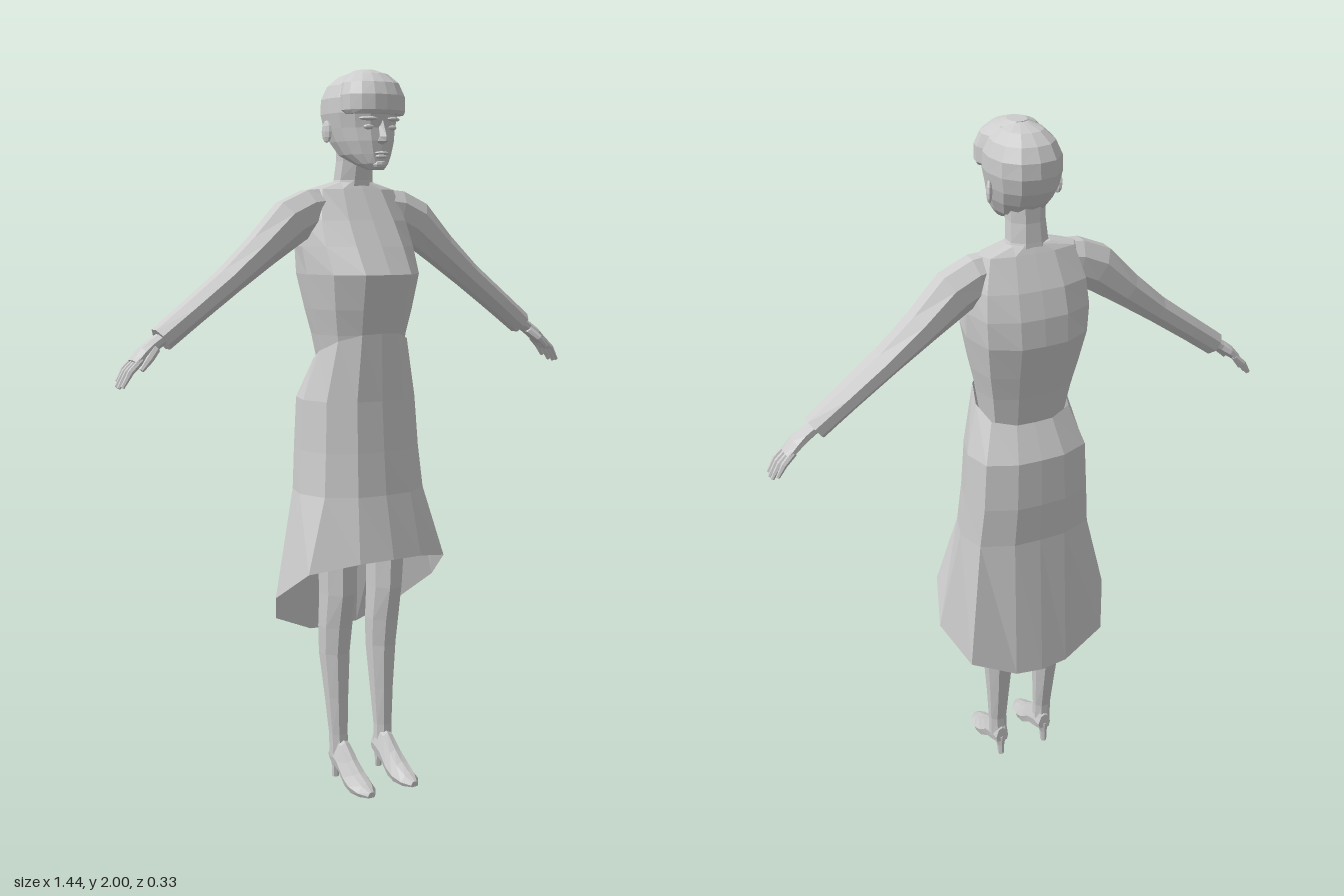
import * as THREE from 'three';

const cloth = new THREE.MeshStandardMaterial({ color: 0xcccccc, flatShading: true, side: THREE.DoubleSide });
cloth.name = 'pale grey';

// Skin closed loops of points into one faceted surface, facing outward.
function loft(name, rings, capped = true) {
  const tris = [], n = rings[0].length, all = rings.flat();
  const mid = all.reduce((s, p) => s.add(p), new THREE.Vector3()).divideScalar(all.length);
  for (let i = 0; i < rings.length - 1; i++) {
    for (let j = 0; j < n; j++) {
      const k = (j + 1) % n, a = rings[i], b = rings[i + 1];
      tris.push([a[j], a[k], b[k]], [a[j], b[k], b[j]]);
    }
  }
  if (capped) {
    [rings[0], rings[rings.length - 1]].forEach((r, end) => {
      const c = r.reduce((s, p) => s.add(p), new THREE.Vector3()).divideScalar(n);
      for (let j = 0; j < n; j++) {
        const k = (j + 1) % n;
        tris.push(end ? [c, r[j], r[k]] : [c, r[k], r[j]]);
      }
    });
  }
  let volume = 0;
  for (const [a, b, c] of tris) {
    const p = a.clone().sub(mid), q = b.clone().sub(mid), r = c.clone().sub(mid);
    volume += p.dot(q.cross(r));
  }
  const pts = tris.flatMap(([a, b, c]) => (volume < 0 ? [a, c, b] : [a, b, c]));
  const geo = new THREE.BufferGeometry().setFromPoints(pts);
  geo.computeVertexNormals();
  const mesh = new THREE.Mesh(geo, cloth);
  mesh.name = name;
  return mesh;
}

// Complete a half loop (front centre to back centre) by mirroring it in x.
function mirrorRing(half) {
  const v = half.map(([x, y, z]) => new THREE.Vector3(x, y, z));
  const other = v.slice(1, -1).reverse().map((p) => new THREE.Vector3(-p.x, p.y, p.z));
  return [...v, ...other];
}

// Body cross-section: half width, front z, back z and an optional back height.
const BODY = [[0, 1], [0.45, 0.97], [0.85, 0.78], [1, 0.45], [0.87, 0.14], [0.4, 0.01], [0, 0]];
const HEAD = [[0, 1], [0.38, 0.97], [0.72, 0.85], [0.94, 0.66], [1, 0.45], [0.87, 0.2], [0.5, 0.04], [0, 0]];
const bodyRing = (shape) => ([y, w, zf, zb, yb = y]) =>
  mirrorRing(shape.map(([u, t]) => [u * w, yb + (y - yb) * t, zb + (zf - zb) * t]));

// Limb along stations [x, y, z, radius in the xy plane, radius in z].
function limb(name, st, sides = 8) {
  const rings = st.map(([x, y, z, a, b], i) => {
    const p = st[Math.max(0, i - 1)], q = st[Math.min(st.length - 1, i + 1)];
    const dx = q[0] - p[0], dy = q[1] - p[1], l = Math.hypot(dx, dy);
    return Array.from({ length: sides }, (_, j) => {
      const t = ((j + 0.5) / sides) * Math.PI * 2, c = Math.cos(t) * a * 1.06;
      return new THREE.Vector3(x - (dy / l) * c, y + (dx / l) * c, z + Math.sin(t) * b * 1.06);
    });
  });
  return loft(name, rings);
}

function ball(name, x, y, z, sx, sy, sz) {
  const mesh = new THREE.Mesh(new THREE.SphereGeometry(1, 8, 6), cloth);
  mesh.name = name;
  mesh.position.set(x, y, z);
  mesh.scale.set(sx, sy, sz);
  return mesh;
}

function makeArm(s) {
  const g = new THREE.Group();
  g.name = s > 0 ? 'leftArm' : 'rightArm';
  const add = (name, st, sides) => g.add(limb(name, st.map(([x, ...r]) => [x * s, ...r]), sides));
  add('sleeve', [
    [0.07, 1.635, -0.045, 0.055, 0.04], [0.14, 1.625, -0.045, 0.06, 0.048], [0.2, 1.597, -0.045, 0.062, 0.05],
    [0.29, 1.522, -0.045, 0.047, 0.048], [0.39, 1.443, -0.043, 0.037, 0.044],
    [0.5, 1.362, -0.041, 0.034, 0.04], [0.59, 1.295, -0.04, 0.033, 0.034],
  ]);
  add('hand', [
    [0.57, 1.31, -0.038, 0.016, 0.02], [0.615, 1.281, -0.038, 0.017, 0.022],
    [0.64, 1.264, -0.038, 0.016, 0.03], [0.668, 1.238, -0.038, 0.011, 0.032],
  ]);
  // Four curled fingers and the thumb
  for (let i = 0; i < 4; i++) {
    const z = -0.014 - i * 0.016, k = [0.95, 1, 0.97, 0.8][i], sp = (1.5 - i) * 0.003;
    add('finger', [
      [0.655, 1.248, z, 0.009, 0.008], [0.655 + 0.035 * k, 1.248 - 0.032 * k, z + sp, 0.008, 0.0075],
      [0.655 + 0.06 * k, 1.248 - 0.072 * k, z + sp, 0.005, 0.005],
    ], 6);
  }
  add('thumb', [
    [0.61, 1.275, -0.022, 0.011, 0.01], [0.637, 1.25, -0.004, 0.01, 0.009], [0.663, 1.222, 0.001, 0.006, 0.006],
  ], 6);
  return g;
}

function makeLeg(s) {
  const g = new THREE.Group();
  g.name = s > 0 ? 'leftLeg' : 'rightLeg';
  g.add(limb('leg', [
    [0.085, 0.95, -0.01, 0.07, 0.085], [0.08, 0.68, -0.004, 0.05, 0.067], [0.079, 0.56, -0.006, 0.046, 0.062],
    [0.079, 0.46, -0.018, 0.045, 0.053], [0.079, 0.38, -0.024, 0.041, 0.047],
    [0.077, 0.25, -0.016, 0.032, 0.034], [0.076, 0.14, -0.008, 0.026, 0.024], [0.075, 0.07, -0.006, 0.026, 0.027],
  ].map(([x, ...r]) => [x * s, ...r])));
  // Shoe sections along z: half width, sole height, upper height
  g.add(loft('shoe', [
    [-0.036, 0.02, 0.055, 0.105], [-0.01, 0.028, 0.05, 0.135], [0.025, 0.03, 0.038, 0.118],
    [0.065, 0.034, 0.008, 0.08], [0.1, 0.036, 0, 0.054], [0.14, 0.03, 0, 0.033], [0.166, 0.012, 0.002, 0.018],
  ].map(([z, w, lo, hi]) => [[-0.8, 0], [0.8, 0], [1, 0.35], [0.55, 0.9], [0, 1], [-0.55, 0.9], [-1, 0.35]]
    .map(([u, t]) => new THREE.Vector3(s * (0.073 + u * w), lo + (hi - lo) * t, z)))));
  g.add(limb('heel', [
    [s * 0.074, 0.07, -0.02, 0.02, 0.018], [s * 0.074, 0.035, -0.025, 0.011, 0.011], [s * 0.074, 0, -0.028, 0.009, 0.009],
  ], 6));
  return g;
}

function makeHead() {
  const g = new THREE.Group();
  g.name = 'head';
  g.add(loft('skull', [
    [1.735, 0.024, 0.088, 0.05], [1.75, 0.042, 0.098, 0.0], [1.775, 0.063, 0.1, -0.065], [1.81, 0.078, 0.102, -0.098],
    [1.845, 0.087, 0.1, -0.12], [1.885, 0.095, 0.108, -0.13], [1.925, 0.094, 0.1, -0.127],
    [1.96, 0.079, 0.08, -0.108], [1.985, 0.052, 0.05, -0.075], [1.998, 0.02, 0.015, -0.03],
  ].map(bodyRing(HEAD))));
  // Swept fringe standing proud of the forehead
  g.add(loft('fringe', [
    [1.88, 0.085, 0.12, 0.01], [1.89, 0.093, 0.126, -0.01], [1.93, 0.093, 0.126, -0.015],
    [1.963, 0.081, 0.112, -0.02], [1.988, 0.055, 0.082, -0.022], [2.0, 0.025, 0.045, -0.02],
  ].map(bodyRing(HEAD))));
  // Nose: bridge, tip and base sections
  g.add(loft('nose', [[1.865, 0.007, 0.104], [1.82, 0.012, 0.123], [1.809, 0.016, 0.12], [1.8, 0.01, 0.103]]
    .map(([y, w, z]) => mirrorRing([[0, y, z], [w, y, z - 0.014], [0, y, 0.08]]))));
  g.add(ball('upperLip', 0, 1.778, 0.1, 0.023, 0.005, 0.01));
  g.add(ball('lowerLip', 0, 1.769, 0.098, 0.019, 0.006, 0.01));
  g.add(ball('chin', 0, 1.748, 0.09, 0.022, 0.013, 0.013));
  for (const s of [-1, 1]) {
    g.add(ball('eye', s * 0.036, 1.846, 0.09, 0.017, 0.007, 0.01));
    const brow = ball('brow', s * 0.04, 1.868, 0.095, 0.026, 0.006, 0.009);
    brow.rotation.y = s * 0.3;
    g.add(brow);
    const ear = ball('ear', s * 0.094, 1.838, -0.03, 0.008, 0.03, 0.018);
    ear.rotation.y = -s * 0.35;
    g.add(ear);
  }
  return g;
}

export function createModel() {
  const model = new THREE.Group();
  model.name = 'woman';
  model.add(makeHead());
  model.add(limb('neck', [
    [0, 1.83, -0.035, 0.05, 0.05], [0, 1.76, -0.04, 0.049, 0.046],
    [0, 1.71, -0.047, 0.053, 0.045], [0, 1.66, -0.05, 0.075, 0.05],
  ]));
  // Fitted bodice
  model.add(loft('bodice', [
    [1.705, 0.06, -0.008, -0.09], [1.685, 0.135, 0.004, -0.1], [1.6, 0.16, 0.055, -0.14], [1.53, 0.166, 0.1, -0.16],
    [1.455, 0.162, 0.146, -0.165], [1.36, 0.146, 0.12, -0.137], [1.29, 0.131, 0.1, -0.117], [1.19, 0.115, 0.085, -0.095],
  ].map(bodyRing(BODY))));
  // Skirt, open at a hem that drops towards the back
  const skirt = [
    [1.295, 0.132, 0.102, -0.104, 1.205], [1.11, 0.17, 0.105, -0.15], [0.97, 0.179, 0.115, -0.152], [0.85, 0.191, 0.126, -0.143],
  ].map(bodyRing(BODY));
  skirt.push(mirrorRing([
    [0, 0.676, 0.165], [0.1, 0.672, 0.15], [0.225, 0.645, 0.085], [0.265, 0.56, -0.03],
    [0.21, 0.47, -0.13], [0.08, 0.412, -0.158], [0, 0.406, -0.164],
  ]));
  model.add(loft('skirt', skirt, false));
  for (const s of [-1, 1]) model.add(makeArm(s), makeLeg(s));
  return model;
}
